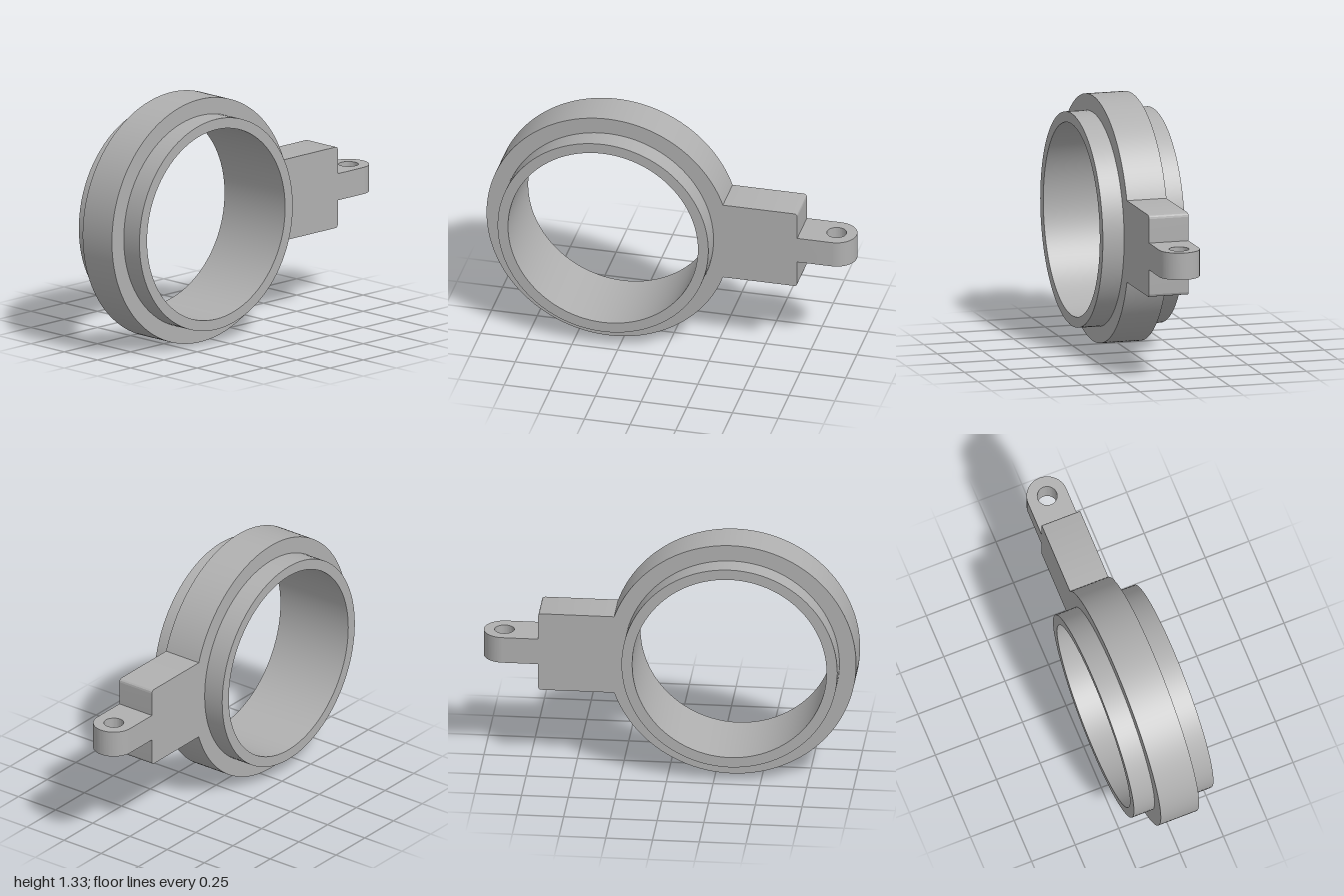
import * as THREE from 'three';
import { toCreasedNormals } from 'three/addons/utils/BufferGeometryUtils.js';

const CX = -0.335, CY = 0.667;           // ring centre
const R_FLANGE = 0.666, R_SLEEVE = 0.577, R_BORE = 0.52;
const HALF_FLANGE = 0.11, HALF_SLEEVE = 0.228;

export function createModel() {
  const group = new THREE.Group();
  const grey = new THREE.MeshStandardMaterial({ color: 0xb0b0b0 });
  grey.name = 'grey';

  const add = (name, geometry) => {
    const mesh = new THREE.Mesh(toCreasedNormals(geometry, 0.5), grey);
    mesh.name = name;
    group.add(mesh);
    return mesh;
  };
  const extrude = (shape, depth, curveSegments) =>
    new THREE.ExtrudeGeometry(shape, { depth, bevelEnabled: false, curveSegments })
      .translate(0, 0, -depth / 2);
  const hole = (x, y, r) => new THREE.Path().absarc(x, y, r, 0, Math.PI * 2, true);

  // Inner sleeve: a tube along z
  const profile = [
    [R_BORE, -HALF_SLEEVE], [R_SLEEVE, -HALF_SLEEVE],
    [R_SLEEVE, HALF_SLEEVE], [R_BORE, HALF_SLEEVE], [R_BORE, -HALF_SLEEVE],
  ].map(([r, y]) => new THREE.Vector2(r, y));
  add('sleeve', new THREE.LatheGeometry(profile, 96).rotateX(Math.PI / 2)).position.set(CX, CY, 0);

  // Outer flange with the arm block in one outline
  const h = 0.222, right = 0.7, c = 0.02;
  const a = Math.asin(h / R_FLANGE);
  const body = new THREE.Shape();
  body.absarc(CX, CY, R_FLANGE, a, Math.PI * 2 - a, false);
  body.lineTo(right - c, CY - h);
  body.quadraticCurveTo(right, CY - h, right, CY - h + c);
  body.lineTo(right, CY + h - c);
  body.quadraticCurveTo(right, CY + h, right - c, CY + h);
  body.closePath();
  body.holes.push(hole(CX, CY, 0.55));
  add('flangeAndArm', extrude(body, HALF_FLANGE * 2, 96));

  // Round-ended lug with a vertical pin hole
  const eye = 1 - HALF_FLANGE;
  const lug = new THREE.Shape();
  lug.moveTo(right - 0.01, -HALF_FLANGE);
  lug.lineTo(eye, -HALF_FLANGE);
  lug.absarc(eye, 0, HALF_FLANGE, -Math.PI / 2, Math.PI / 2, false);
  lug.lineTo(right - 0.01, HALF_FLANGE);
  lug.closePath();
  lug.holes.push(hole(eye, 0, 0.053));
  add('lug', extrude(lug, 0.146, 32).rotateX(-Math.PI / 2)).position.y = CY;

  return group;
}
